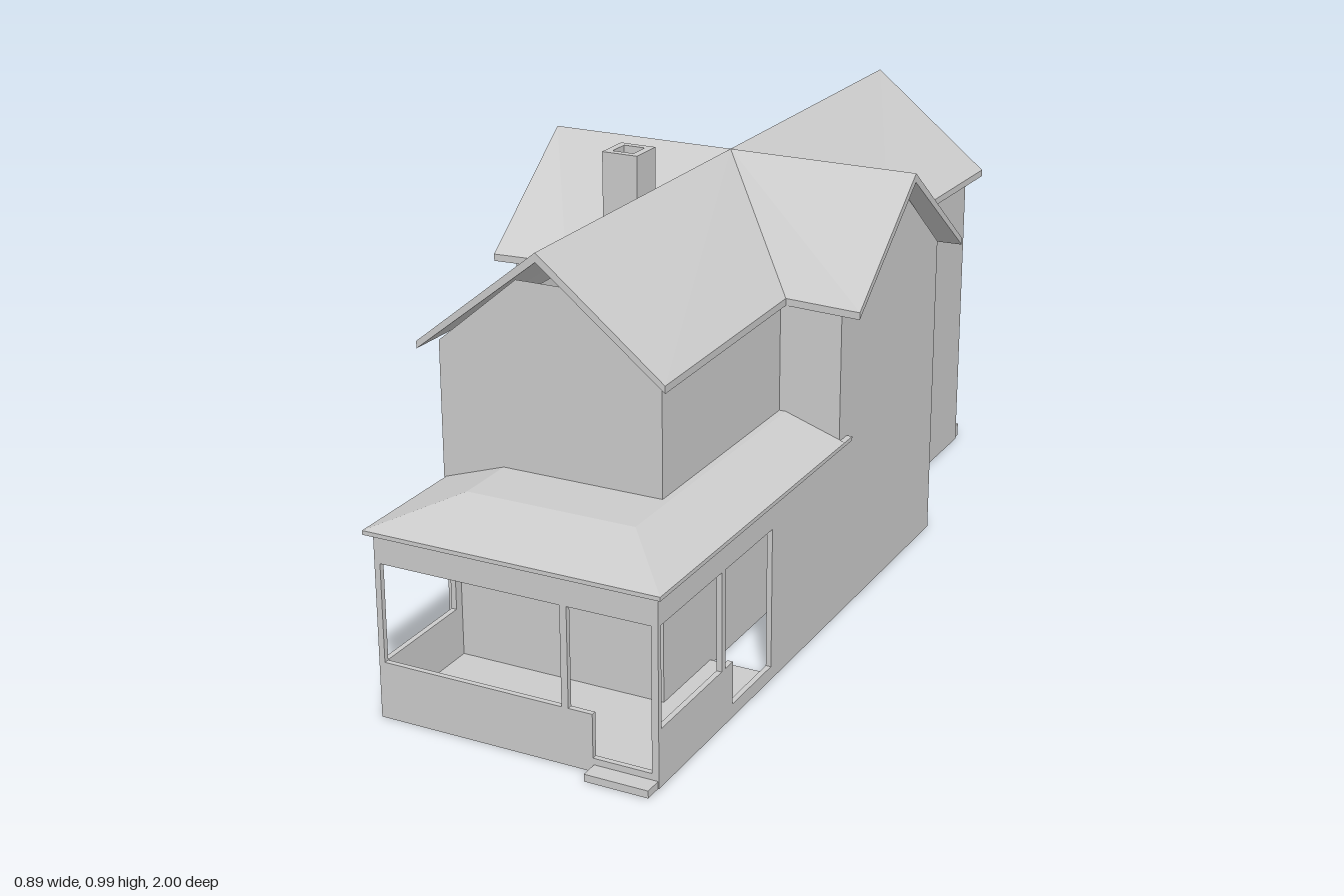
import * as THREE from 'three';

const mat = new THREE.MeshStandardMaterial({ color: 0xcccccc, flatShading: true, side: THREE.DoubleSide });

function addMesh(group, name, geometry) {
  const mesh = new THREE.Mesh(geometry, mat);
  mesh.name = name;
  group.add(mesh);
  return mesh;
}

// Triangle fans for a list of flat polygons
function polygons(faces) {
  const pos = [];
  for (const f of faces)
    for (let i = 1; i < f.length - 1; i++) pos.push(...f[0], ...f[i], ...f[i + 1]);
  const g = new THREE.BufferGeometry();
  g.setAttribute('position', new THREE.Float32BufferAttribute(pos, 3));
  g.computeVertexNormals();
  return g;
}

// Stacked rings of equal length, joined by quads and capped at both ends
function loft(rings) {
  const faces = [[...rings[0]].reverse(), rings[rings.length - 1]];
  for (let r = 0; r < rings.length - 1; r++) {
    const a = rings[r], b = rings[r + 1], n = a.length;
    for (let i = 0; i < n; i++) faces.push([a[i], a[(i + 1) % n], b[(i + 1) % n], b[i]]);
  }
  return polygons(faces);
}

// Counter-clockwise (from above) rectangle at height y
const rect = (x0, x1, z0, z1, y) => [[x0, y, z1], [x1, y, z1], [x1, y, z0], [x0, y, z0]];

function box(group, name, x0, x1, y0, y1, z0, z1) {
  const m = addMesh(group, name, new THREE.BoxGeometry(x1 - x0, y1 - y0, z1 - z0));
  m.position.set((x0 + x1) / 2, (y0 + y1) / 2, (z0 + z1) / 2);
}

// Thin wall in the xy plane with openings, extruded along +z
function openWall(outline, holes, depth) {
  const toV = (pts) => pts.map(([x, y]) => new THREE.Vector2(x, y));
  const shape = new THREE.Shape(toV(outline));
  for (const h of holes) shape.holes.push(new THREE.Path(toV(h)));
  return new THREE.ExtrudeGeometry(shape, { depth, bevelEnabled: false });
}
const box2 = (a, b, y0, y1) => [[a, y0], [b, y0], [b, y1], [a, y1]];

const NX = 0.255, TX = 0.397;            // half widths of long wing and cross wing
const ZF = 0.67, ZB = -0.96;             // ends of the long wing
const TF = 0.13, TB = -0.41, TC = -0.145; // cross wing faces and ridge
const EAVE = 0.712, RIDGE = 0.945, DROP = 0.02;

function buildHouse() {
  const g = new THREE.Group();
  g.name = 'house';
  const top = RIDGE - DROP;

  // Side walls of both wings, mirrored
  for (const [s, side] of [[1, 'left'], [-1, 'right']]) {
    const faces = [];
    for (const [a, b] of [[ZF, TF], [TB, ZB]])
      faces.push([[s * NX, 0, a], [s * NX, 0, b], [s * NX, EAVE, b], [s * NX, EAVE, a]]);
    for (const z of [TF, TB])
      faces.push([[s * NX, 0, z], [s * TX, 0, z], [s * TX, EAVE, z], [s * NX, EAVE, z]]);
    faces.push([[s * TX, 0, TF], [s * TX, 0, TB], [s * TX, EAVE, TB], [s * TX, top, TC], [s * TX, EAVE, TF]]);
    if (s < 0) faces.forEach((f) => f.reverse());
    addMesh(g, side + 'Walls', polygons(faces));
  }

  // Front gable stops short of the ridge, back gable is full
  addMesh(g, 'frontGable', polygons([[[-NX, 0, ZF], [NX, 0, ZF], [NX, EAVE, ZF],
    [0.07, 0.868, ZF], [-0.07, 0.868, ZF], [-NX, EAVE, ZF]]]));
  addMesh(g, 'backGable', polygons([[[NX, 0, ZB], [-NX, 0, ZB], [-NX, EAVE, ZB], [0, top, ZB], [NX, EAVE, ZB]]]));
  return g;
}

function buildRoof() {
  const g = new THREE.Group();
  g.name = 'crossRoof';
  const ey = 0.718, cx = 0.268;
  const centre = [0, RIDGE, TC];
  for (const s of [1, -1]) {
    for (const [end, valleyZ, tipZ] of [[0.71, 0.132, 0.147], [-1, -0.43, -0.44]]) {
      const valley = [s * cx, ey, valleyZ];
      const panels = {
        longRoofPanel: [centre, [0, RIDGE, end], [s * 0.283, ey, end], valley],
        crossRoofPanel: [centre, valley, [s * 0.445, ey, tipZ], [s * 0.445, RIDGE, TC]],
      };
      for (const [name, p] of Object.entries(panels)) {
        const upper = s * end > 0 ? p : [...p].reverse();
        const lower = upper.map(([x, y, z]) => [x, y - DROP + (y < 0.8 ? 0.004 : 0), z]);
        addMesh(g, name, loft([lower, upper]));
      }
    }
  }
  return g;
}

function buildPorch() {
  const g = new THREE.Group();
  g.name = 'porch';
  const t = 0.012, h = 0.408, zf = 0.96, xl = -0.235;

  // Front wall: wide opening and stepped doorway
  const front = addMesh(g, 'porchFront', openWall(box2(xl, TX, 0, h), [
    box2(-0.222, 0.185, 0.125, 0.342),
    [[0.2, 0.125], [0.253, 0.125], [0.253, 0.03], [0.382, 0.03], [0.382, 0.342], [0.2, 0.342]],
  ], t));
  front.position.z = zf - t;

  // Side walls are drawn along -z, then turned to face sideways
  const opening = box2(-0.948, -0.692, 0.125, 0.342);
  const left = addMesh(g, 'porchLeftSide', openWall(box2(-zf, -TF, 0, h), [
    opening,
    [[-0.675, 0.125], [-0.642, 0.125], [-0.642, 0.03], [-0.462, 0.03], [-0.462, 0.342], [-0.675, 0.342]],
  ], t));
  left.rotation.y = Math.PI / 2;
  left.position.x = TX - t;
  const right = addMesh(g, 'porchRightSide', openWall(box2(-zf, -ZF, 0, h), [opening], t));
  right.rotation.y = Math.PI / 2;
  right.position.x = xl;

  // Floor wraps round the corner
  box(g, 'porchFloor', xl + t, TX - t, 0.002, 0.012, ZF, zf - t);
  box(g, 'porchSideFloor', NX, TX - t, 0.002, 0.012, 0.46, ZF);

  // Hipped roof with a thin eave
  addMesh(g, 'porchEave', loft([rect(-0.25, 0.41, 0.09, 0.975, 0.405), rect(-0.25, 0.41, 0.09, 0.975, 0.414)]));
  addMesh(g, 'porchRoof', loft([rect(-0.25, 0.41, TF, 0.975, 0.414), rect(-0.11, 0.27, TF, 0.81, 0.461)]));
  return g;
}

export function createModel() {
  const model = new THREE.Group();
  model.name = 'farmhouse';
  model.add(buildHouse(), buildRoof(), buildPorch());

  // Chimney with a sunken flue
  const flue = addMesh(model, 'chimney', openWall(box2(-0.172, -0.087, -0.133, -0.048),
    [box2(-0.155, -0.104, -0.116, -0.065)], 0.285));
  flue.rotation.x = -Math.PI / 2;
  flue.position.y = 0.7;
  box(model, 'flueFloor', -0.155, -0.104, 0.94, 0.95, 0.065, 0.116);

  // Door steps
  box(model, 'frontStep', 0.255, 0.395, 0, 0.016, 0.96, 1);
  box(model, 'backStep', 0.085, 0.25, 0, 0.032, -0.988, ZB);
  return model;
}
